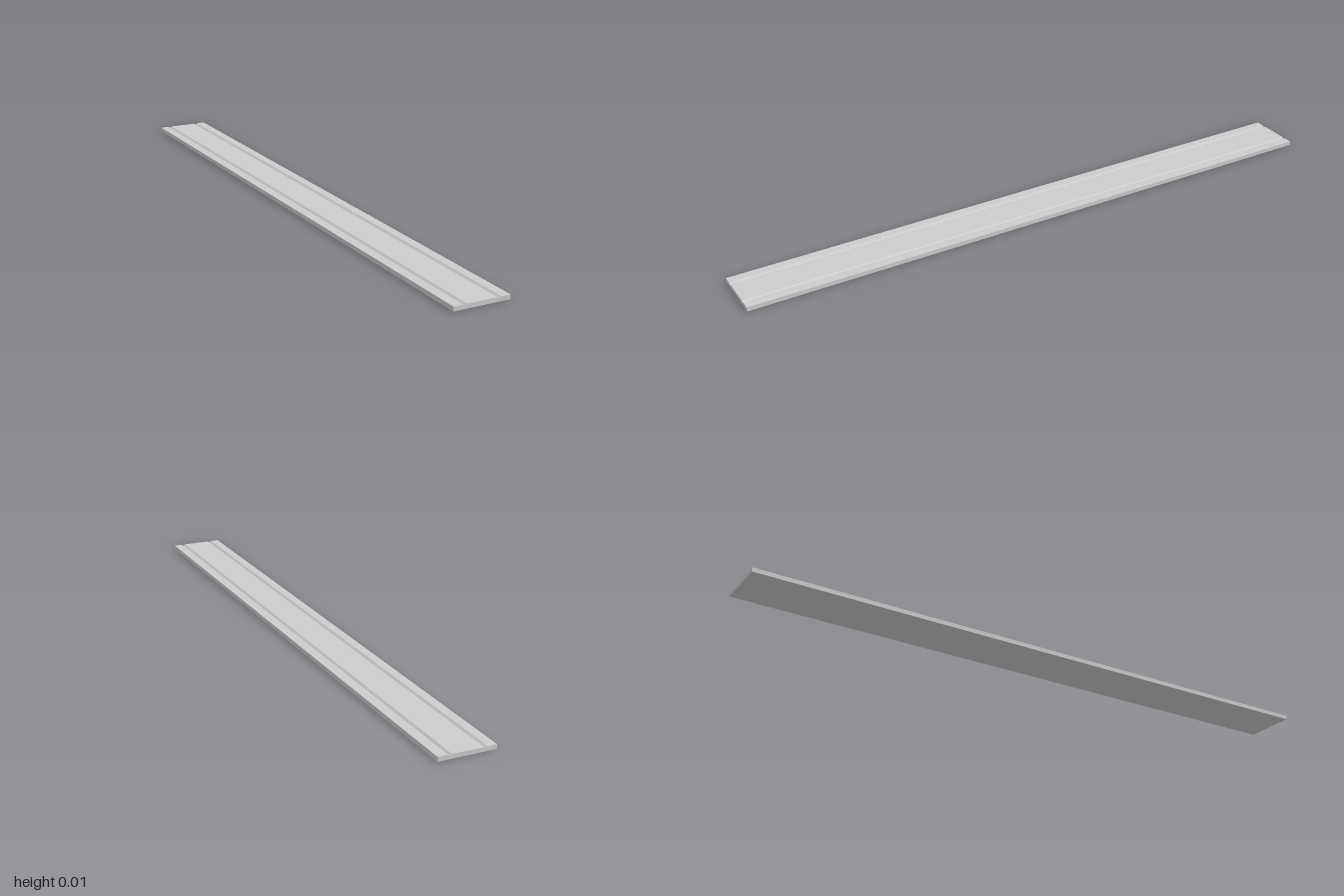
import * as THREE from 'three';

const HALF_WIDTH = 0.0885, HEIGHT = 0.0135, LENGTH = 2;
const GROOVE_X = 0.0535, GROOVE_HALF = 0.0075, GROOVE_DEPTH = 0.0045;

export function createModel() {
  const group = new THREE.Group();
  group.name = 'groovedPlank';

  // Cross-section: flat board with two V-shaped grooves in its top face
  const profile = new THREE.Shape();
  profile.moveTo(-HALF_WIDTH, 0);
  profile.lineTo(HALF_WIDTH, 0);
  profile.lineTo(HALF_WIDTH, HEIGHT);
  for (const x of [GROOVE_X, -GROOVE_X]) {
    profile.lineTo(x + GROOVE_HALF, HEIGHT);
    profile.lineTo(x, HEIGHT - GROOVE_DEPTH);
    profile.lineTo(x - GROOVE_HALF, HEIGHT);
  }
  profile.lineTo(-HALF_WIDTH, HEIGHT);
  profile.closePath();

  // Board runs lengthwise along z
  const geometry = new THREE.ExtrudeGeometry(profile, { depth: LENGTH, bevelEnabled: false });
  geometry.translate(0, 0, -LENGTH / 2);
  const board = new THREE.Mesh(geometry, new THREE.MeshStandardMaterial({ color: 0xcccccc }));
  board.name = 'board';
  group.add(board);
  return group;
}
